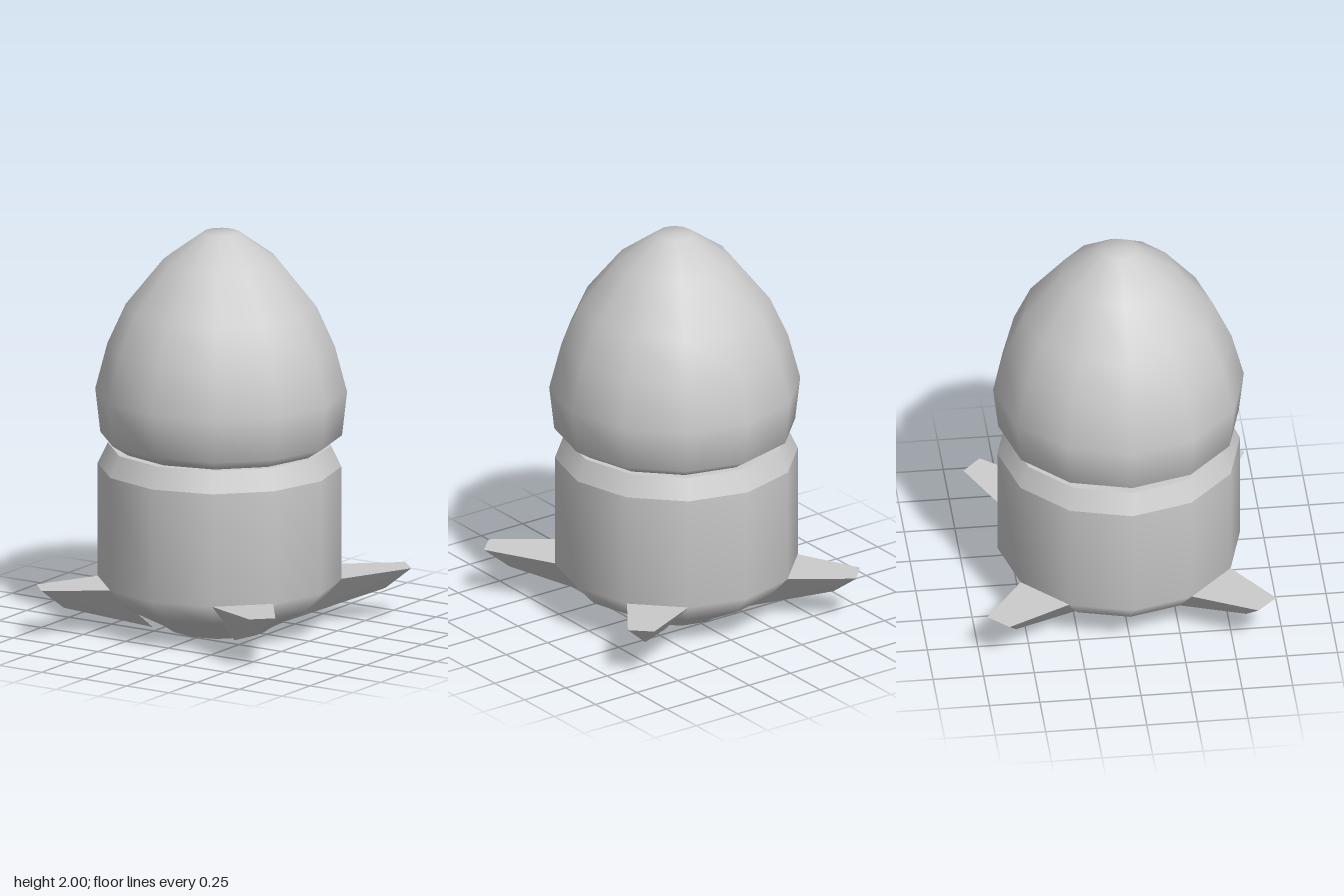
import * as THREE from 'three';
import { ConvexGeometry } from 'three/addons/geometries/ConvexGeometry.js';

const SIDES = 12;
const material = new THREE.MeshStandardMaterial({ color: 0xcccccc });

// Twelve-sided turned part; the profile runs upwards as [radius, y]
function turned(name, profile, x) {
  const points = profile.map(([r, y]) => new THREE.Vector2(r, y));
  const mesh = new THREE.Mesh(new THREE.LatheGeometry(points, SIDES), material);
  mesh.name = name;
  mesh.position.x = x;
  return mesh;
}

// Wedge-shaped foot: flat top, V-shaped underside, blunt tip
function foot(name, sx, sz) {
  const left = sx > 0;
  const drop = left ? 0 : 0.02;
  const shift = left ? 0 : 0.06;
  const corners = [
    [0.7, 0.27 - drop, 0.605 + drop / 2],
    [0.605, 0.27 - drop, 0.695 + drop],
    [0.57, 0.16 - drop, 0.57],
    [0.485 + shift, 0.25, 0.3],
    [0.265 + shift, 0.25, 0.515],
    [0.21 + shift, 0.012, 0.23],
  ].map(([x, y, z]) => new THREE.Vector3(sx * x, y, sz * z));
  const mesh = new THREE.Mesh(new ConvexGeometry(corners), material);
  mesh.name = name;
  return mesh;
}

export function createModel() {
  const model = new THREE.Group();
  model.name = 'eggInFootedCup';

  model.add(turned('egg', [
    [0, 0.92], [0.51, 0.925], [0.595, 0.98], [0.62, 1.2], [0.56, 1.43],
    [0.47, 1.63], [0.285, 1.86], [0.09, 2], [0, 2],
  ], -0.02));

  // Cup: shallow recess below, rounded hull, upright wall, chamfered rim
  const cup = new THREE.Group();
  cup.name = 'cup';
  cup.add(
    turned('baseRecess', [[0, 0.04], [0.11, 0.035], [0.15, 0]].map(([r, y]) => [r, y]), -0.03),
    turned('baseRing', [[0.15, 0], [0.25, 0]], -0.03),
    turned('hullAndWall', [[0.25, 0], [0.3, 0.035], [0.5, 0.14], [0.6, 0.25], [0.6, 0.82]], -0.03),
    turned('rimChamfer', [[0.6, 0.82], [0.55, 0.925]], -0.03),
    turned('rimTop', [[0.55, 0.925], [0, 0.925]], -0.03),
  );
  model.add(cup);

  // Four feet on the diagonals
  for (const [sx, side] of [[1, 'Left'], [-1, 'Right']]) {
    for (const [sz, end] of [[1, 'front'], [-1, 'back']]) {
      model.add(foot(`${end}${side}Foot`, sx, sz));
    }
  }
  return model;
}
